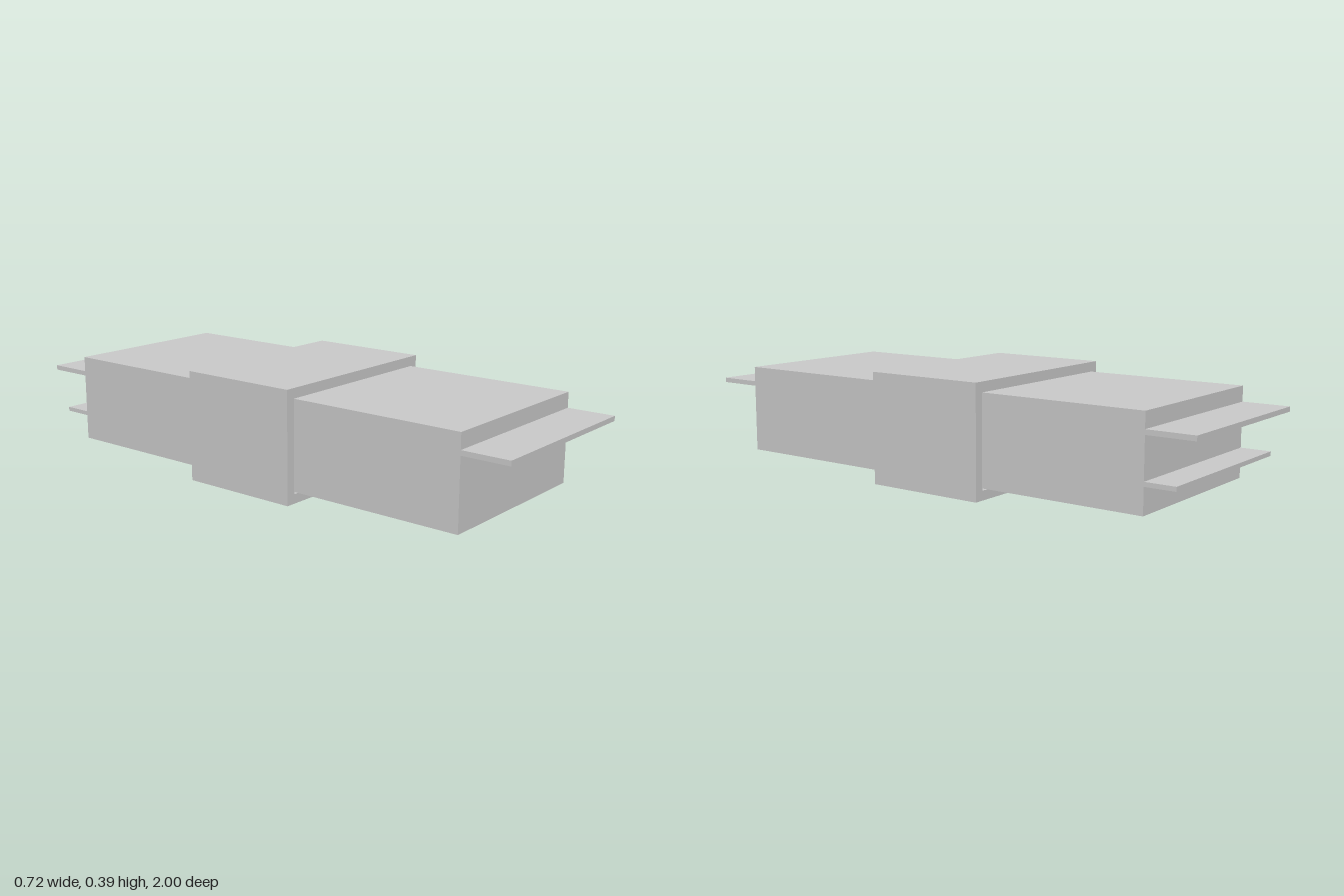
import * as THREE from 'three';

const material = new THREE.MeshStandardMaterial({ color: 0xcccccc, flatShading: true });

// Box given by its lower and upper limits along y and z, centred on x
function slab(name, width, y0, y1, z0, z1) {
  const mesh = new THREE.Mesh(new THREE.BoxGeometry(width, y1 - y0, z1 - z0), material);
  mesh.name = name;
  mesh.position.set(0, (y0 + y1) / 2, (z0 + z1) / 2);
  return mesh;
}

// Rectangular outline, used for both the sleeve wall and its opening
function rectangle(path, halfWidth, y0, y1) {
  path.moveTo(-halfWidth, y0);
  path.lineTo(halfWidth, y0);
  path.lineTo(halfWidth, y1);
  path.lineTo(-halfWidth, y1);
  path.closePath();
  return path;
}

export function createModel() {
  const model = new THREE.Group();
  model.name = 'sleevedBlock';

  // Long inner block
  const width = 0.65;
  model.add(slab('innerBlock', width, 0.041, 0.355, -0.833, 0.833));

  // Hollow sleeve around the middle, leaving a thin slit under the block
  const wall = rectangle(new THREE.Shape(), 0.358, 0, 0.39);
  wall.holes.push(rectangle(new THREE.Path(), 0.323, 0.033, 0.354));
  const sleeve = new THREE.Mesh(
    new THREE.ExtrudeGeometry(wall, { depth: 0.44, bevelEnabled: false }), material);
  sleeve.name = 'sleeve';
  sleeve.position.z = -0.239;
  model.add(sleeve);

  // Thin tongues projecting from the ends
  model.add(slab('frontTongue', width, 0.284, 0.301, 0.82, 1));
  model.add(slab('backUpperTongue', width, 0.284, 0.301, -1, -0.82));
  model.add(slab('backLowerTongue', width, 0.13, 0.145, -0.94, -0.82));

  return model;
}
